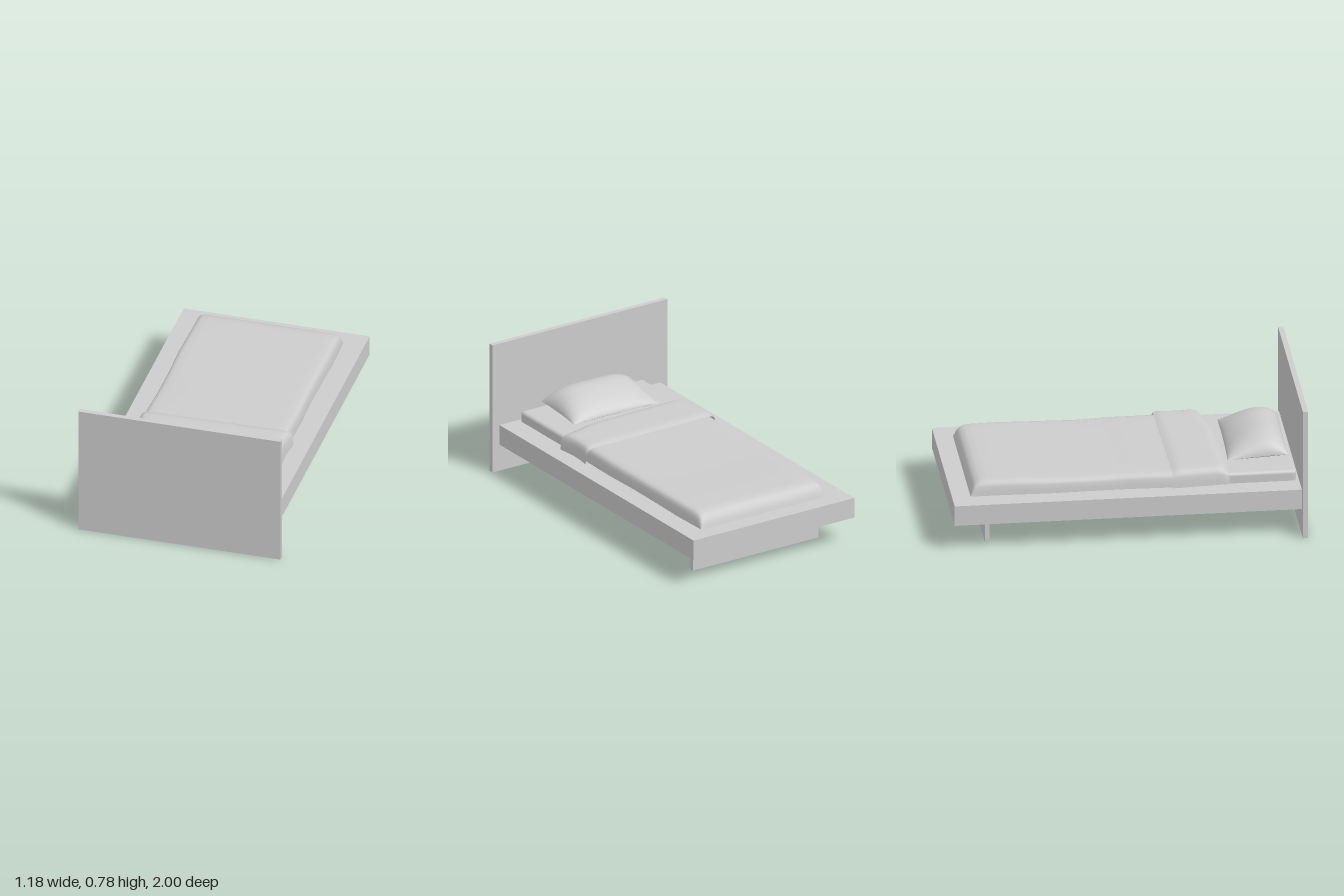
import * as THREE from 'three';
import { RoundedBoxGeometry } from 'three/addons/geometries/RoundedBoxGeometry.js';

const grey = new THREE.MeshStandardMaterial({ color: 0xcccccc, side: THREE.DoubleSide });
grey.name = 'light grey';

// Surface over u (along +x) and v (along +z), both 0..1; faces up unless flipped
function sheet(cols, rows, point, flip = false) {
  const pos = [], index = [];
  for (let j = 0; j <= rows; j++) {
    for (let i = 0; i <= cols; i++) pos.push(...point(i / cols, j / rows));
  }
  for (let j = 0; j < rows; j++) {
    for (let i = 0; i < cols; i++) {
      const a = j * (cols + 1) + i, b = a + 1, c = a + cols + 1, d = c + 1;
      if (flip) index.push(a, b, c, b, d, c);
      else index.push(a, c, b, b, c, d);
    }
  }
  const g = new THREE.BufferGeometry();
  g.setAttribute('position', new THREE.Float32BufferAttribute(pos, 3));
  g.setIndex(index);
  g.computeVertexNormals();
  return g;
}

// Cross-section of cloth hanging over the mattress: [side -1..1, height 0..1]
const half = [[1, 0], [0.995, 0.3], [0.985, 0.6], [0.97, 0.8], [0.945, 0.92], [0.9, 0.98], [0.8, 1], [0.55, 1], [0.25, 1]];
const drape = [...half.map(([x, y]) => [-x, y]), [0, 1], ...[...half].reverse()];
const last = drape.length - 1;

export function createModel() {
  const model = new THREE.Group();
  const add = (name, geometry, x = 0, y = 0, z = 0) => {
    const mesh = new THREE.Mesh(geometry, grey);
    mesh.name = name;
    mesh.position.set(x, y, z);
    model.add(mesh);
    return mesh;
  };

  // Wooden parts
  add('headboard', new THREE.BoxGeometry(1.184, 0.78, 0.03), 0, 0.39, 0.985);
  add('bedFrame', new THREE.BoxGeometry(1.09, 0.12, 1.97), 0, 0.22, -0.015);
  add('footSupport', new THREE.BoxGeometry(0.85, 0.16, 0.026), 0, 0.08, -0.802);

  // Mattress
  add('mattress', new RoundedBoxGeometry(0.83, 0.09, 1.8, 4, 0.02), 0, 0.297, 0.055);

  // Blanket: rows of [z, height above frame], rounded over at the foot
  const rows = [[-0.895, 0], [-0.888, 0.025], [-0.877, 0.052], [-0.862, 0.07], [-0.835, 0.082], [-0.79, 0.086],
    [-0.65, 0.086], [-0.45, 0.083], [-0.2, 0.079], [0, 0.084], [0.2, 0.085], [0.35, 0.084], [0.48, 0.08]];
  add('blanket', sheet(last, rows.length - 1, (u, v) => {
    const [sx, h] = drape[Math.round(u * last)];
    const [z, top] = rows[Math.round(v * (rows.length - 1))];
    const flare = 0.425 + 0.004 * Math.sin(z * 9 + sx);
    return [sx * flare, 0.28 + h * top, z];
  }));

  // Turned-down blanket edge, with its left corner pulled back
  add('blanketFold', sheet(last, 14, (u, v) => {
    const [sx, h] = drape[Math.round(u * last)];
    const pull = THREE.MathUtils.smoothstep(sx, 0.45, 0.9);
    const start = 0.243 - 0.008 * sx;
    const end = 0.562 - 0.012 * sx - 0.06 * pull;
    const lip = Math.max(0, (v - 0.8) / 0.2);
    const top = 0.1 - 0.012 * Math.max(0, 1 - v * 10) - 0.034 * lip * lip * (1 - 0.6 * pull);
    const width = sx > 0 ? 0.452 - 0.012 * Math.sin(v * Math.PI) : 0.443 - 0.022 * v;
    return [sx * width, 0.28 + h * top, start + (end - start) * v];
  }));

  // Pillow: full top and shallow underside meeting at a pinched seam
  const pillow = new THREE.Group();
  pillow.name = 'pillow';
  const side = (name, height, flip) => {
    const mesh = new THREE.Mesh(sheet(28, 28, (a, b) => {
      const u = Math.sin((a - 0.5) * Math.PI), v = Math.sin((b - 0.5) * Math.PI);
      const puff = Math.pow(Math.max(0, 1 - u ** 4), 0.6) * Math.pow(Math.max(0, 1 - v * v), 0.6) * (1 + 0.3 * v);
      return [
        0.285 * u * (1 - 0.03 * (1 - v * v)),
        0.37 + 0.011 * v + height * puff,
        0.172 * v * (1 - 0.03 * (1 - u * u)),
      ];
    }, flip), grey);
    mesh.name = name;
    pillow.add(mesh);
  };
  side('pillowTop', 0.107, false);
  side('pillowUnderside', -0.024, true);
  pillow.position.set(0.008, 0, 0.757);
  pillow.rotation.y = -0.015;
  model.add(pillow);

  return model;
}
